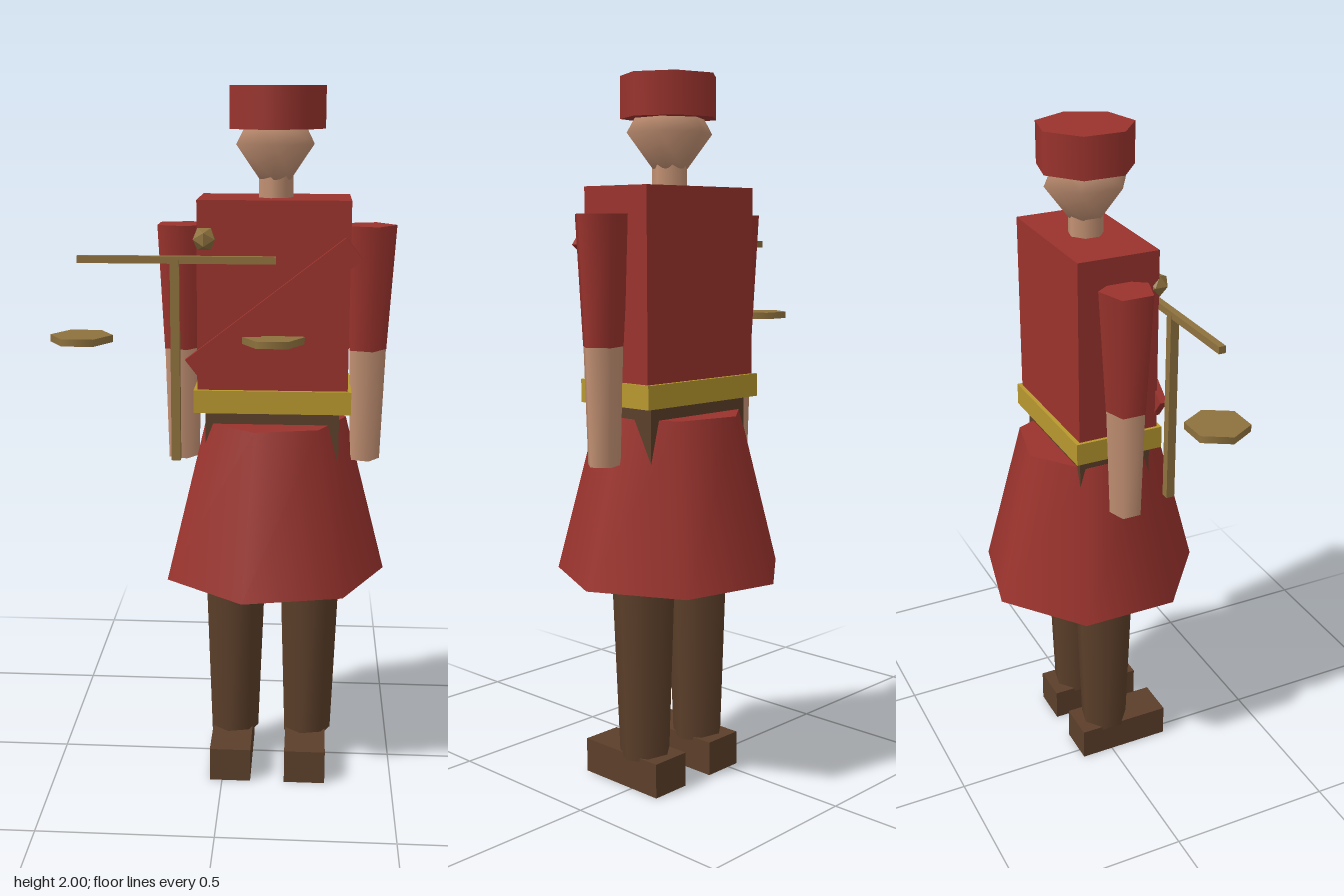
import * as THREE from 'three';

const mat = (name, color) => Object.assign(new THREE.MeshStandardMaterial({ color }), { name });

export function createModel() {
  const red = mat('coat red', 0x9b332d);
  const skin = mat('skin', 0xc49274);
  const brown = mat('trouser brown', 0x5c3f2a);
  const gold = mat('belt gold', 0xb8982f);
  const bronze = mat('bronze', 0x8f723e);

  const model = new THREE.Group();
  model.name = 'figure';
  const CX = 0.137; // body axis

  const add = (name, geometry, material, x, y, z = 0) => {
    const mesh = new THREE.Mesh(geometry, material);
    mesh.name = name;
    mesh.position.set(x, y, z);
    model.add(mesh);
    return mesh;
  };
  const box = (name, material, w, h, d, x, y, z) =>
    add(name, new THREE.BoxGeometry(w, h, d), material, x, y, z);
  // tapered prism standing between y0 and y1, one corner towards +x
  const taper = (name, material, rTop, rBottom, y0, y1, x, sides = 7, z = 0) =>
    add(name, new THREE.CylinderGeometry(rTop, rBottom, y1 - y0, sides, 1, false, Math.PI / 2),
      material, x, (y0 + y1) / 2, z);

  // trunk
  box('torso', red, 0.42, 0.59, 0.24, CX, 1.405, 0);
  box('belt', gold, 0.44, 0.065, 0.264, CX, 1.143, 0);
  box('hips', brown, 0.376, 0.18, 0.218, CX, 1.03, 0);
  taper('skirt', red, 0.21, 0.33, 0.615, 1.075, CX);

  // sash across the chest
  box('sash', red, 0.556, 0.075, 0.022, CX, 1.403, 0.125).rotation.z = 0.66;

  // head and hat
  taper('neck', skin, 0.05, 0.05, 1.69, 1.77, CX);
  const face = [[0, 1.74], [0.05, 1.75], [0.122, 1.845], [0.085, 1.91], [0, 1.95]];
  add('head', new THREE.LatheGeometry(face.map(([r, y]) => new THREE.Vector2(r, y)), 6), skin, CX, 0);
  taper('hat', red, 0.137, 0.137, 1.885, 2, CX);

  // limbs, mirrored about the body axis
  for (const [side, s] of [['left', 1], ['right', -1]]) {
    const armX = CX + s * 0.262;
    const legX = CX + s * 0.11;
    taper(side + 'Sleeve', red, 0.078, 0.058, 1.275, 1.625, armX, 5);
    taper(side + 'Forearm', skin, 0.057, 0.047, 0.953, 1.275, armX, 5);
    taper(side + 'Leg', brown, 0.105, 0.073, 0.09, 0.98, legX);
    box(side + 'Boot', brown, 0.12, 0.1, 0.288, legX - 0.003, 0.05, 0.044);
  }

  // balance scales held at the right side
  const z = 0.131;
  box('scalesBeam', bronze, 0.545, 0.02, 0.02, -0.128, 1.54, z);
  box('scalesPost', bronze, 0.025, 0.565, 0.025, -0.132, 1.258, z + 0.002);
  for (const x of [-0.394, 0.138]) taper('scalesPan', bronze, 0.0875, 0.0875, 1.31, 1.33, x, 6, z);
  add('scalesKnob', new THREE.IcosahedronGeometry(0.035), bronze, -0.052, 1.596, 0.123);

  return model;
}
